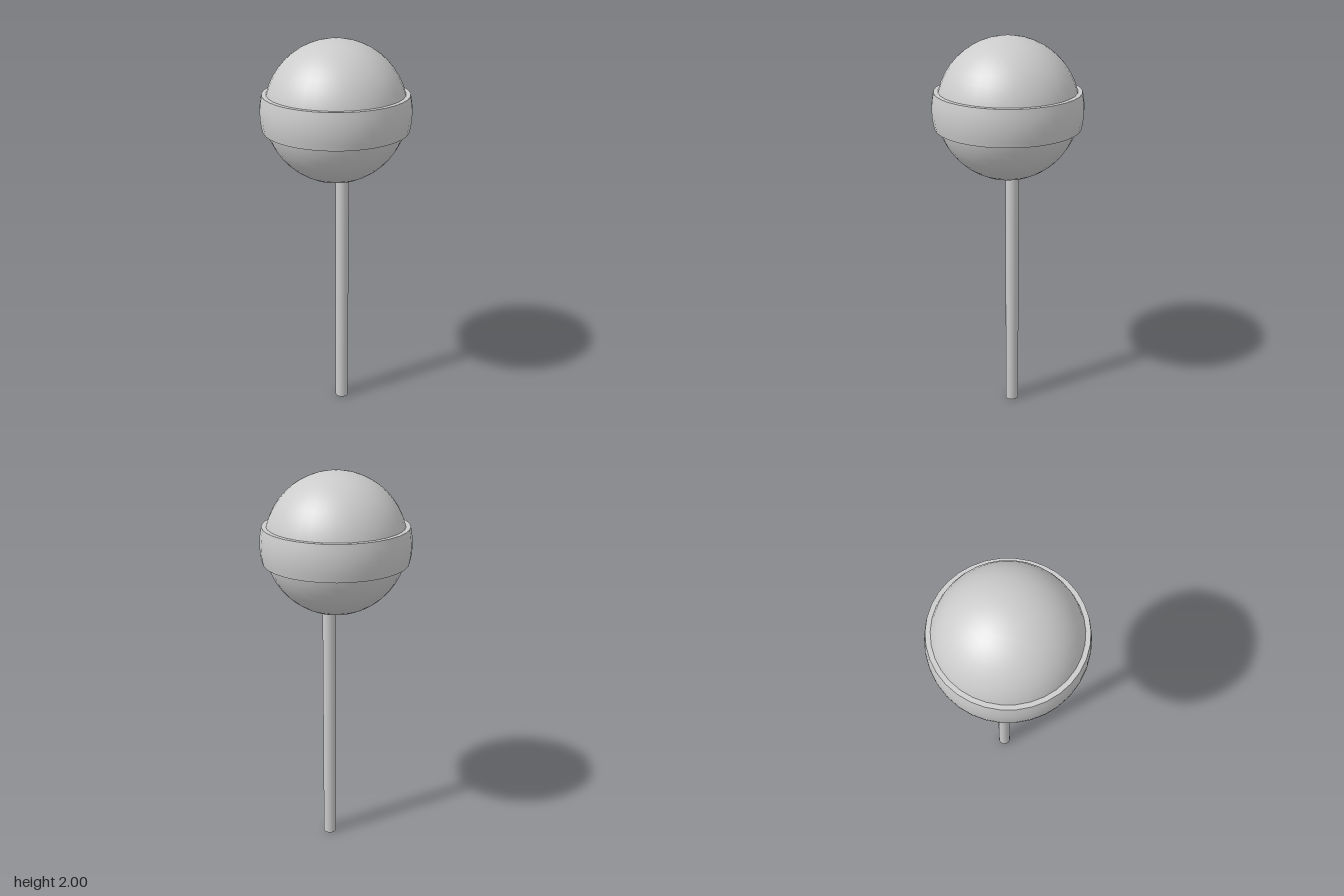
import * as THREE from 'three';
import { toCreasedNormals } from 'three/addons/utils/BufferGeometryUtils.js';

const SIDES = 34;
const CENTRE_Y = 1.648;
const BALL_RADIUS = 0.352;
const BAND_RADIUS = 0.374;
const BAND_HALF_HEIGHT = 0.09;

export function createModel() {
  const group = new THREE.Group();
  const material = new THREE.MeshStandardMaterial({ color: 0xcccccc });

  const add = (name, geometry, x, y, z) => {
    const mesh = new THREE.Mesh(geometry, material);
    mesh.name = name;
    mesh.position.set(x, y, z);
    group.add(mesh);
    return mesh;
  };

  // Round candy ball
  const ball = new THREE.SphereGeometry(BALL_RADIUS, SIDES, 24);
  ball.rotateY(Math.PI / 2);
  add('candyBall', ball, 0, CENTRE_Y, 0);

  // Bulging band around the middle, with flat rims running into the ball
  const inner = 0.33;
  const tilt = Math.asin(BAND_HALF_HEIGHT / BAND_RADIUS);
  const profile = [new THREE.Vector2(inner, -BAND_HALF_HEIGHT)];
  for (let i = 0; i <= 6; i++) {
    const a = -tilt + (2 * tilt * i) / 6;
    profile.push(new THREE.Vector2(BAND_RADIUS * Math.cos(a), BAND_RADIUS * Math.sin(a)));
  }
  profile.push(new THREE.Vector2(inner, BAND_HALF_HEIGHT));
  add('band', toCreasedNormals(new THREE.LatheGeometry(profile, SIDES), 0.7), 0, CENTRE_Y, 0);

  // Stick, slightly off centre, ending inside the ball
  const stickHeight = 1.4;
  add('stick', new THREE.CylinderGeometry(0.034, 0.034, stickHeight, 24), 0.014, stickHeight / 2, -0.035);

  return group;
}
